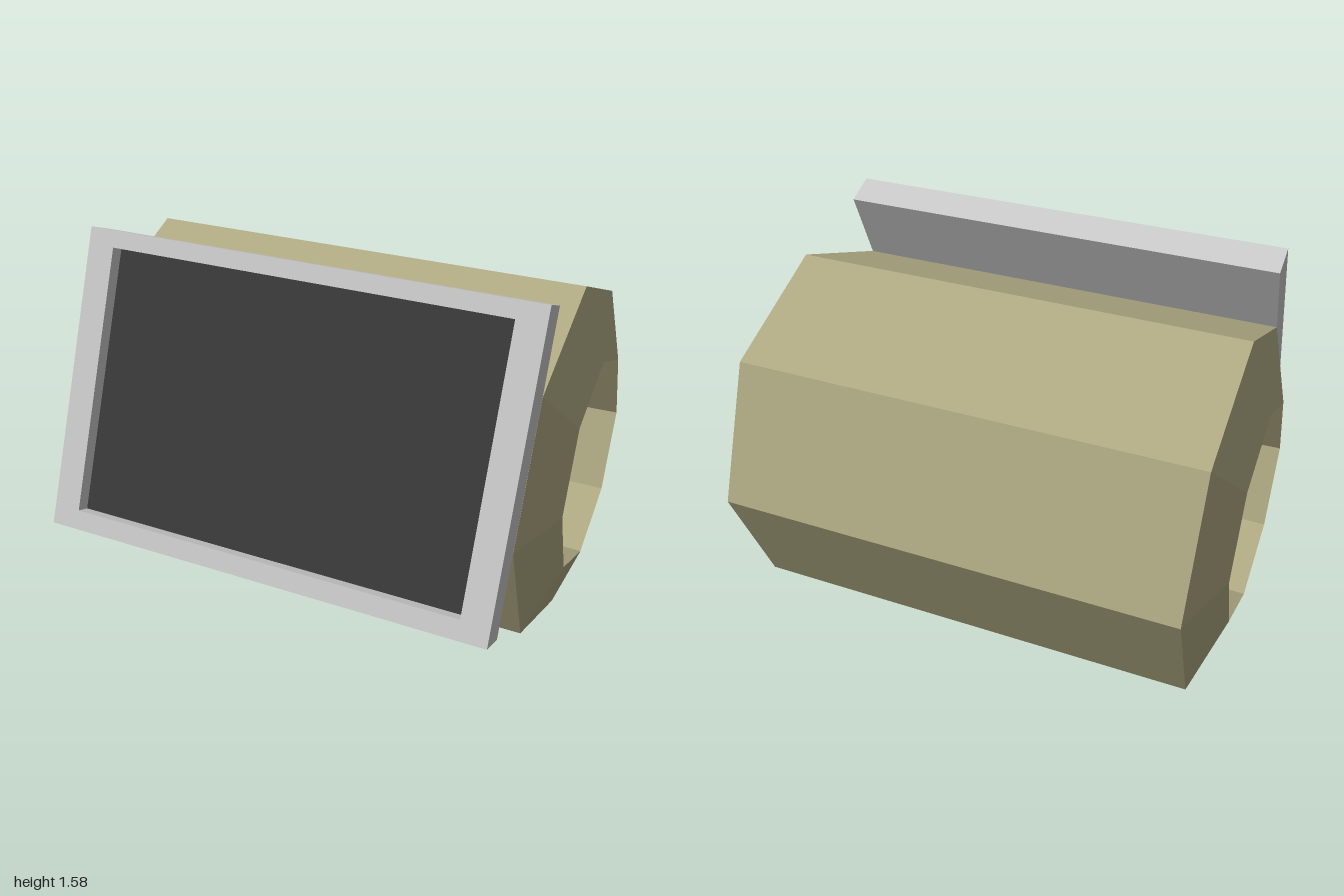
import * as THREE from 'three';

const BODY_Y = 0.725, BODY_Z = -0.12;          // axis of the octagonal barrel
const WIDTH = 1.81, HEIGHT = 1.18, THICK = 0.128; // front plate
const RECESS = 0.058;

function mat(color) {
  return new THREE.MeshStandardMaterial({ color, flatShading: true });
}

function add(parent, name, geometry, material) {
  const mesh = new THREE.Mesh(geometry, material);
  mesh.name = name;
  parent.add(mesh);
  return mesh;
}

// Rectangle outline between two corners
function rect(target, x0, y0, x1, y1) {
  target.moveTo(x0, y0);
  target.lineTo(x1, y0);
  target.lineTo(x1, y1);
  target.lineTo(x0, y1);
  target.closePath();
  return target;
}

export function createModel() {
  const model = new THREE.Group();
  const grey = mat(0xcccccc);

  // Hollow eight-sided barrel: chamfered ends, bore narrowing to the middle
  const profile = [[0.402, 0], [0.436, -1], [0.725, -0.905], [0.725, 0.905], [0.436, 1], [0.402, 0]]
    .map(([r, h]) => new THREE.Vector2(r, h));
  const barrel = add(model, 'barrel', new THREE.LatheGeometry(profile, 8), mat(0xb1ab84));
  barrel.rotation.z = Math.PI / 2;
  barrel.position.set(0, BODY_Y, BODY_Z);

  // Tilted display lying on the upper front facet
  const display = new THREE.Group();
  display.name = 'display';
  display.position.set(0, 1.008, 0.56);
  display.rotation.x = -Math.PI / 8;
  model.add(display);

  // Solid backing slab
  const backDepth = THICK - RECESS;
  const back = add(display, 'displayBack', new THREE.BoxGeometry(WIDTH, HEIGHT, backDepth), grey);
  back.position.z = -THICK / 2 + backDepth / 2;

  // Raised frame around the recess
  const outline = rect(new THREE.Shape(), -WIDTH / 2, -HEIGHT / 2, WIDTH / 2, HEIGHT / 2);
  outline.holes.push(rect(new THREE.Path(), -0.795, -0.514, 0.795, 0.524));
  const frame = add(display, 'displayFrame',
    new THREE.ExtrudeGeometry(outline, { depth: RECESS, bevelEnabled: false }), grey);
  frame.position.z = THICK / 2 - RECESS;

  // Dark screen at the bottom of the recess
  const screen = add(display, 'screen', new THREE.PlaneGeometry(1.59, 1.038), mat(0x3a3a3a));
  screen.position.set(0, 0.005, THICK / 2 - RECESS + 0.003);

  return model;
}
